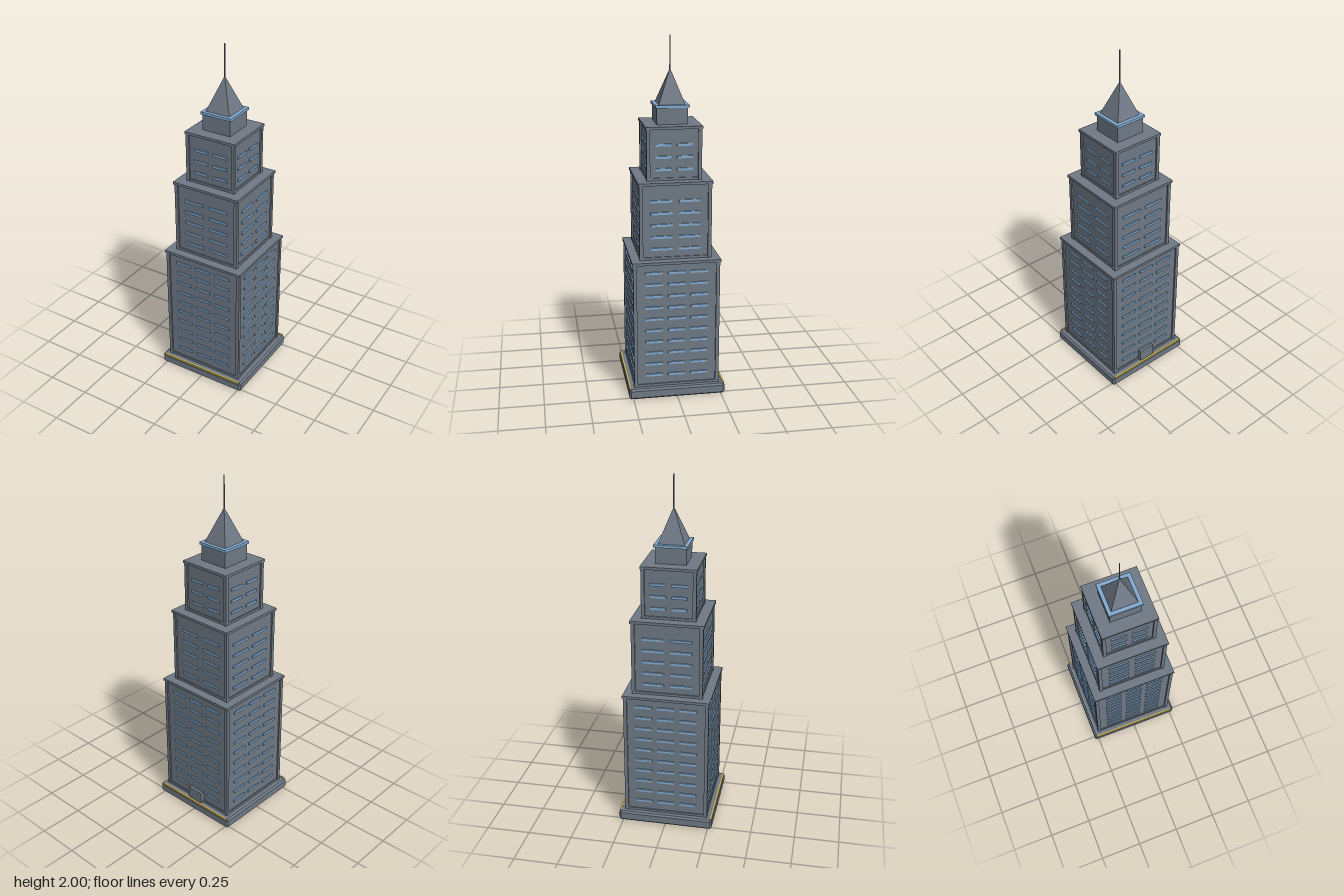
import * as THREE from 'three';
import { ConvexGeometry } from 'three/addons/geometries/ConvexGeometry.js';

const mat = (name, color) => {
  const m = new THREE.MeshStandardMaterial({ color });
  m.name = name;
  return m;
};

export function createModel() {
  const stone = mat('slate stone', 0x6f7985);
  const glass = mat('blue glass', 0x82aad0);
  const gold = mat('gold trim', 0xcdb34e);
  const tower = new THREE.Group();
  tower.name = 'tower';

  const add = (parent, name, geometry, material, x = 0, y = 0, z = 0) => {
    const mesh = new THREE.Mesh(geometry, material);
    mesh.name = name;
    mesh.position.set(x, y, z);
    parent.add(mesh);
    return mesh;
  };
  // Box given by its centre in x and z and its bottom and top heights
  const block = (parent, name, material, w, d, y0, y1, x = 0, z = 0) =>
    add(parent, name, new THREE.BoxGeometry(w, y1 - y0, d), material, x, (y0 + y1) / 2, z);

  // Base slab with every edge and corner chamfered
  const half = [0.273, 0.03, 0.273], cut = 0.01, corners = [];
  for (const sx of [-1, 1]) for (const sy of [-1, 1]) for (const sz of [-1, 1])
    for (let axis = 0; axis < 3; axis++) {
      const p = [sx, sy, sz].map((s, i) => s * (half[i] - (i === axis ? 0 : cut)));
      corners.push(new THREE.Vector3(...p));
    }
  add(tower, 'base', new ConvexGeometry(corners), stone, 0, 0.03, 0);

  // Gold strips along the front and back edges of the base
  for (const s of [-1, 1])
    block(tower, 'goldStrip', gold, 0.516, 0.009, 0.052, 0.062, 0, s * 0.267);

  // Stepped tiers: outer half width r, cornice half width c, window columns and rows
  const tiers = [
    { name: 'lowerTier', y0: 0.06, y1: 0.8, r: 0.242, c: 0.247, cols: [-0.127, 0, 0.127], w: 0.096, first: 0.128, rows: 10 },
    { name: 'middleTier', y0: 0.8, y1: 1.235, r: 0.2, c: 0.206, cols: [-0.078, 0.078], w: 0.118, first: 0.86, rows: 5 },
    { name: 'upperTier', y0: 1.235, y1: 1.53, r: 0.152, c: 0.156, cols: [-0.059, 0.059], w: 0.086, first: 1.295, rows: 3 },
  ];
  for (const t of tiers) {
    const tier = new THREE.Group();
    tier.name = t.name;
    tower.add(tier);
    const wall = t.r - 0.009, post = 0.02;
    block(tier, 'walls', stone, wall * 2, wall * 2, t.y0, t.y1 - 0.015);
    block(tier, 'footBand', stone, t.r * 2 - 0.006, t.r * 2 - 0.006, t.y0, t.y0 + 0.014);
    block(tier, 'cornice', stone, t.c * 2, t.c * 2, t.y1 - 0.015, t.y1);

    for (const sx of [-1, 1]) for (const sz of [-1, 1])
      block(tier, 'cornerPost', stone, post, post, t.y0, t.y1 - 0.015,
        sx * (t.r - post / 2), sz * (t.r - post / 2));

    // The same window grid on all four sides
    for (let side = 0; side < 4; side++) {
      const windows = new THREE.Group();
      windows.name = 'windows';
      windows.rotation.y = side * Math.PI / 2;
      tier.add(windows);
      for (const x of t.cols) for (let i = 0; i < t.rows; i++) {
        const y = t.first + i * 0.0675;
        block(windows, 'window', glass, t.w, 0.008, y - 0.007, y + 0.007, x, wall + 0.003);
      }
    }
  }

  // Rear entrance
  block(tower, 'rearDoor', stone, 0.098, 0.026, 0.06, 0.13, 0, -0.244);

  // Crown, glass ledge, pyramid roof and mast
  block(tower, 'crown', stone, 0.172, 0.172, 1.53, 1.62);
  block(tower, 'glassLedge', glass, 0.187, 0.187, 1.62, 1.635);
  const roof = new THREE.ConeGeometry(0.073 * Math.SQRT2, 0.19, 4).toNonIndexed();
  roof.rotateY(Math.PI / 4);
  roof.computeVertexNormals();
  add(tower, 'pyramidRoof', roof, stone, 0, 1.73, 0);
  add(tower, 'mast', new THREE.CylinderGeometry(0.003, 0.004, 0.19, 8), stone, 0, 1.905, 0);

  return tower;
}
